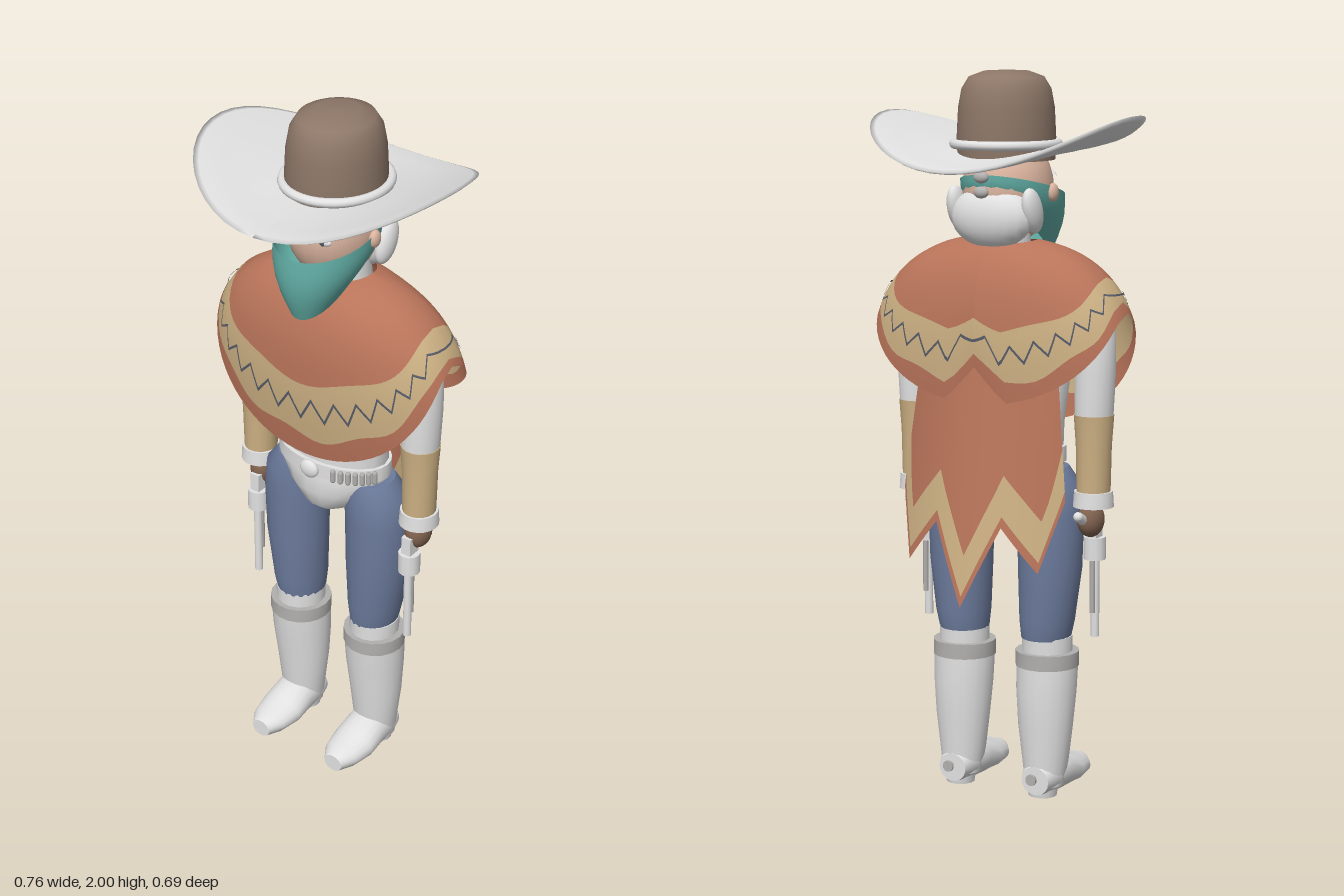
import * as THREE from 'three';

const mat = (name, color, side = THREE.FrontSide) => {
  const m = new THREE.MeshStandardMaterial({ color, side });
  m.name = name;
  return m;
};

export function createModel() {
  const D = THREE.DoubleSide;
  const white = mat('white', 0xe2e2e2), brown = mat('hat brown', 0x8d7768), teal = mat('teal', 0x62aea6, D);
  const rust = mat('rust', 0xb9745a, D), tan = mat('tan', 0xccb083, D), blue = mat('denim', 0x6c7b9c);
  const skin = mat('skin', 0xdcb5a0), dark = mat('dark thread', 0x565b68, D);
  const hide = mat('glove brown', 0x80624f), grey = mat('grey', 0xb2b0ae);
  const root = new THREE.Group();

  const add = (name, geo, m, x = 0, y = 0, z = 0) => {
    const mesh = new THREE.Mesh(geo, m);
    mesh.name = name;
    mesh.position.set(x, y, z);
    root.add(mesh);
    return mesh;
  };
  const ball = (name, m, p, r) => {
    const b = add(name, new THREE.SphereGeometry(1, 20, 14), m, ...p);
    b.scale.set(...r);
    return b;
  };
  const build = (pos, idx) => {
    const g = new THREE.BufferGeometry();
    g.setAttribute('position', new THREE.Float32BufferAttribute(pos, 3));
    g.setIndex(idx);
    g.computeVertexNormals();
    return g;
  };
  // Closed body through elliptical rings [y, cx, cz, rx, rz], bottom to top
  const loft = (rings, n = 18) => {
    const first = rings[0], last = rings[rings.length - 1];
    const all = [[...first.slice(0, 3), 0, 0], first, ...rings, last, [...last.slice(0, 3), 0, 0]];
    const pos = [], idx = [];
    all.forEach(([y, cx, cz, rx, rz], i) => {
      for (let j = 0; j < n; j++) {
        const a = j / n * Math.PI * 2;
        pos.push(cx + rx * Math.cos(a), y, cz + rz * Math.sin(a));
        if (i === all.length - 1 || i === 1 || i === all.length - 3) continue;
        const k = (j + 1) % n, p = i * n + j, q = i * n + k;
        idx.push(p, p + n, q, q, p + n, q + n);
      }
    });
    return build(pos, idx);
  };
  // Sheet of surface f(u, t), between the curves t = lo(u) and t = hi(u)
  const sheet = (f, u0, u1, n, lo, hi, rows = 6) => {
    const pos = [], idx = [];
    for (let i = 0; i <= n; i++) for (let j = 0; j <= rows; j++) {
      const u = u0 + (u1 - u0) * i / n, a = lo(u), b = hi(u);
      pos.push(...f(u, a + (b - a) * j / rows));
      if (i === n || j === rows) continue;
      const p = i * (rows + 1) + j, q = p + rows + 1;
      idx.push(p, p + 1, q, q, p + 1, q + 1);
    }
    return build(pos, idx);
  };
  const tri = v => Math.abs(((v % 1) + 1) % 1 - 0.5) * 4 - 1;
  const lathe = (pts, n = 36) => new THREE.LatheGeometry(pts.map(p => new THREE.Vector2(...p)), n);

  // Hat: curled brim, band and crown
  const brim = lathe([[0.1, 0], [0.2, 0], [0.3, -0.001], [0.365, 0], [0.38, 0.006], [0.365, 0.013],
    [0.3, 0.014], [0.2, 0.018], [0.1, 0.024]], 48);
  const bp = brim.attributes.position;
  for (let i = 0; i < bp.count; i++) {
    const x = bp.getX(i), z = bp.getZ(i) * 0.91;
    bp.setXYZ(i, x, bp.getY(i) + 1.755 + 0.85 * x * x + 0.05 * z, z);
  }
  brim.computeVertexNormals();
  add('hatBrim', brim, white);
  const crown = add('hatCrown', lathe([[0.13, 1.76], [0.132, 1.82], [0.128, 1.9], [0.119, 1.95],
    [0.1, 1.982], [0.06, 1.997], [0, 2]]), brown, 0, 0, -0.005);
  crown.scale.z = 1.08;
  const band = add('hatBand', new THREE.TorusGeometry(0.139, 0.013, 10, 40).rotateX(Math.PI / 2), white, 0, 1.803, -0.007);
  band.scale.z = 1.06;

  // Head: face, ears, eyes, brows and hair
  ball('head', skin, [0, 1.68, 0.005], [0.122, 0.15, 0.135]);
  ball('hair', white, [0, 1.61, -0.085], [0.122, 0.085, 0.062]);
  for (const s of [-1, 1]) {
    ball('ear', skin, [s * 0.135, 1.675, 0.01], [0.014, 0.025, 0.02]);
    ball('eye', white, [s * 0.055, 1.688, 0.121], [0.022, 0.012, 0.012]);
    ball('pupil', dark, [s * 0.055, 1.688, 0.131], [0.008, 0.009, 0.004]);
    const brow = new THREE.QuadraticBezierCurve3(new THREE.Vector3(s * 0.022, 1.715, 0.135),
      new THREE.Vector3(s * 0.06, 1.745, 0.125), new THREE.Vector3(s * 0.098, 1.71, 0.088));
    add('eyebrow', new THREE.TubeGeometry(brow, 10, 0.008, 6), white);
    const lock = ball('sideHair', white, [s * 0.115, 1.63, -0.07], [0.025, 0.065, 0.038]);
    lock.rotation.x = -0.4;
  }
  add('neck', new THREE.CylinderGeometry(0.075, 0.085, 0.12, 20), white, 0, 1.53, -0.03);

  // Bandana with a pointed front, knotted behind
  const scarf = (u, t) => {
    const s = Math.sin(u), c = Math.cos(u), b = Math.sin(t * Math.PI) * 0.016;
    const top = [0.137 * s, 1.685 - 0.04 * c, 0.03 + 0.16 * c];
    const low = [0.082 * s, 1.55 - 0.09 * c, 0.04 + 0.125 * c];
    return top.map((v, i) => v + (low[i] - v) * t + b * [s, 0, c][i]);
  };
  add('bandana', sheet(scarf, -Math.PI, Math.PI, 40, () => 0, () => 1), teal);
  for (const y of [1.68, 1.72]) ball('bandanaKnot', grey, [0, y, -0.145], [0.022, 0.016, 0.014]);

  // Poncho: each strand falls from the neck over the shoulder to the hem
  const drape = lift => (u, t) => {
    const s = Math.sin(u), c = Math.cos(u), k = Math.abs(c), d = Math.sign(c) * Math.sqrt(k);
    const back = c < 0, notch = back ? 0.1 * Math.max(0, 1 - Math.abs(s) / 0.25) : 0;
    const p = [[0.105 * s, 1.55 - 0.01 * k, 0.085 * c - 0.02],
      [0.3 * s, 1.52 - 0.07 * k, (back ? 0.2 : 0.215) * d - 0.01],
      [0.372 * s, 1.365 - (back ? 0.25 : 0.34) * k + notch, (back ? 0.175 : 0.145) * d - 0.01]];
    const w = [(1 - t) ** 2, 2 * t * (1 - t), t * t], o = [s, 0.3, c];
    return [0, 1, 2].map(i => w[0] * p[0][i] + w[1] * p[1][i] + w[2] * p[2][i] + lift * o[i]);
  };
  const P = Math.PI, edge = u => 0.92 + 0.015 * Math.sin(u * 9);
  const bandTop = u => 0.67 + 0.015 * Math.cos(u * 6);
  add('ponchoTop', sheet(drape(0), -P, P, 72, () => 0, bandTop, 10), rust);
  add('ponchoBand', sheet(drape(0), -P, P, 72, bandTop, edge), tan);
  add('ponchoHem', sheet(drape(0), -P, P, 72, edge, () => 1, 3), rust);
  const zig = u => 0.795 + 0.045 * tri(u / P * 14);
  add('ponchoStitching', sheet(drape(0.004), -P, P, 224, u => zig(u) - 0.009, u => zig(u) + 0.009, 1), dark);

  // Long back tail with three points; u runs across, t is height
  const cape = (u, y) => {
    const x = u * (0.2 + 0.05 * Math.min(1, (1.32 - y) / 0.45));
    return [x, y, -0.15 - 0.155 * (1.32 - y) + 1.4 * x * x];
  };
  const hemPts = [[0, 0.57], [0.4, 0.79], [0.8, 0.67], [1, 0.86]];
  const hem = u => {
    const a = Math.min(Math.abs(u), 0.9999), i = hemPts.findIndex(p => p[0] > a);
    const [p, q] = [hemPts[i - 1], hemPts[i]];
    return p[1] + (q[1] - p[1]) * (a - p[0]) / (q[0] - p[0]);
  };
  add('tailTop', sheet(cape, -1, 1, 40, () => 1.32, u => hem(u) + 0.14, 8), rust);
  add('tailBand', sheet(cape, -1, 1, 40, u => hem(u) + 0.14, u => hem(u) + 0.03, 3), tan);
  add('tailHem', sheet(cape, -1, 1, 40, u => hem(u) + 0.03, hem, 1), rust);

  // Torso, pelvis and belt
  add('torso', loft([[0.9, 0, 0, 0.165, 0.095], [1.05, 0, 0, 0.17, 0.1], [1.25, 0, 0, 0.2, 0.1],
    [1.4, 0, -0.01, 0.2, 0.09], [1.5, 0, -0.02, 0.1, 0.07]]), white);
  add('pelvis', loft([[0.805, 0, 0, 0.045, 0.06], [0.83, 0, 0, 0.085, 0.09], [0.88, 0, 0, 0.14, 0.105],
    [0.93, 0, 0, 0.168, 0.104], [0.96, 0, 0, 0.165, 0.1]]), white);
  add('belt', loft([[0.942, 0, 0, 0.176, 0.11], [0.985, 0, 0, 0.176, 0.11]], 28), white);
  ball('buckle', white, [-0.005, 0.963, 0.113], [0.03, 0.027, 0.014]);
  for (let i = 0; i < 7; i++) {
    const a = 0.4 + i * 0.13;
    add('bullet', new THREE.CapsuleGeometry(0.008, 0.026, 3, 8), grey, 0.18 * Math.sin(a), 0.963, 0.115 * Math.cos(a));
  }

  for (const s of [-1, 1]) {
    // Arm and glove
    const x = s * 0.275;
    add('sleeve', loft([[1.07, x, -0.015, 0.052, 0.054], [1.2, s * 0.278, -0.015, 0.056, 0.058],
      [1.36, s * 0.275, -0.015, 0.058, 0.058], [1.41, s * 0.25, -0.015, 0.045, 0.05]]), white);
    add('forearm', loft([[0.86, x, -0.015, 0.046, 0.048], [1.0, x, -0.015, 0.049, 0.05],
      [1.085, x, -0.015, 0.055, 0.056]]), tan);
    add('cuff', loft([[0.832, x, -0.015, 0.056, 0.057], [0.875, x, -0.015, 0.053, 0.054]]), white);
    ball('hand', hide, [s * 0.27, 0.795, -0.02], [0.036, 0.048, 0.044]);

    // Revolver pointing at the ground
    const g = s * 0.265;
    add('gunGrip', new THREE.CapsuleGeometry(0.014, 0.09, 4, 10).rotateX(-1.1), white, g, 0.793, -0.045);
    add('gunFrame', new THREE.BoxGeometry(0.03, 0.08, 0.04), white, g, 0.755, 0.012);
    add('gunCylinder', new THREE.CylinderGeometry(0.031, 0.031, 0.062, 12), white, g, 0.71, 0.014);
    add('gunBarrel', new THREE.CylinderGeometry(0.012, 0.012, 0.24, 10), white, g, 0.58, 0.018);
    add('gunRod', new THREE.CylinderGeometry(0.008, 0.008, 0.16, 8), grey, g, 0.61, 0.001);

    // Trouser leg
    add('leg', loft([[0.45, s * 0.13, -0.012, 0.068, 0.075], [0.5, s * 0.133, -0.012, 0.076, 0.083],
      [0.65, s * 0.14, -0.01, 0.09, 0.088], [0.8, s * 0.141, -0.01, 0.094, 0.09],
      [0.88, s * 0.135, -0.008, 0.09, 0.088], [0.93, s * 0.12, -0.005, 0.066, 0.07]], 20), blue);

    // Boot, strap and spur
    const b = s * 0.132;
    add('bootTop', loft([[0.37, b, -0.01, 0.07, 0.072], [0.455, b, -0.01, 0.07, 0.074]]), white);
    add('bootStrap', loft([[0.37, b, -0.01, 0.089, 0.088], [0.412, b, -0.01, 0.089, 0.088]]), grey);
    add('bootShaft', loft([[0.03, b, -0.025, 0.055, 0.055], [0.1, b, -0.02, 0.066, 0.063],
      [0.2, b, -0.02, 0.078, 0.072], [0.3, b, -0.015, 0.085, 0.083], [0.385, b, -0.01, 0.087, 0.086]]), white);
    const foot = loft([[-0.082, b, -0.05, 0.042, 0.04], [-0.04, b, -0.06, 0.058, 0.056], [0.03, b, -0.062, 0.064, 0.06],
      [0.09, b, -0.047, 0.067, 0.043], [0.15, b, -0.042, 0.055, 0.035], [0.19, b, -0.037, 0.03, 0.026]]);
    const fp = foot.rotateX(P / 2).attributes.position;
    for (let i = 0; i < fp.count; i++) fp.setY(i, Math.max(0.008, fp.getY(i)));
    foot.computeVertexNormals();
    add('foot', foot, white);
    add('heel', new THREE.CylinderGeometry(0.045, 0.04, 0.03, 14), white, b, 0.015, -0.035);
    add('spur', new THREE.CylinderGeometry(0.016, 0.016, 0.008, 10).rotateX(P / 2), grey, b, 0.06, -0.105);
    add('spurStem', new THREE.CylinderGeometry(0.005, 0.005, 0.04, 6).rotateX(P / 2), grey, b, 0.06, -0.088);
  }
  return root;
}
